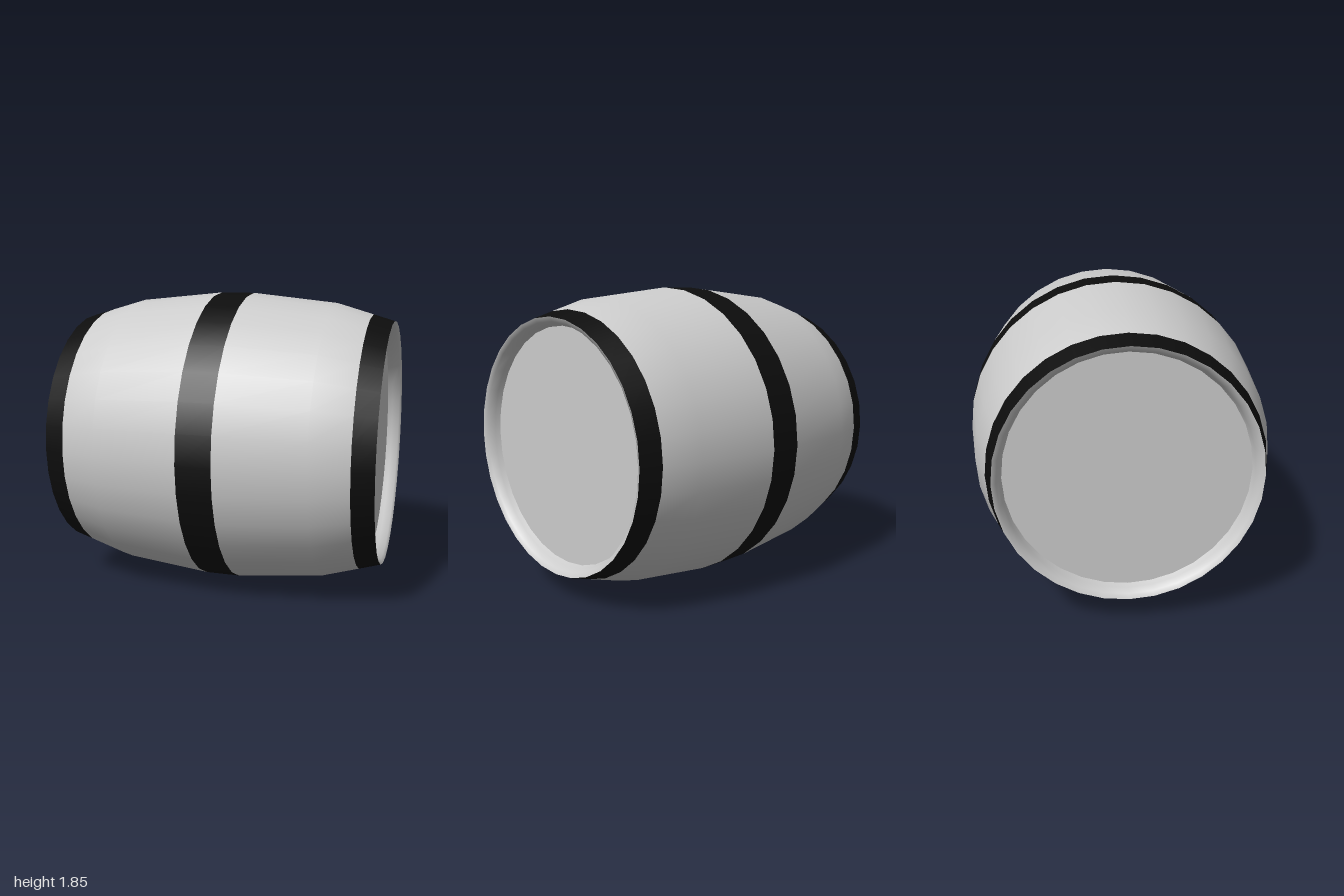
import * as THREE from 'three';

const SIDES = 32;
const R = 0.925;

export function createModel() {
  const barrel = new THREE.Group();
  barrel.name = 'barrel';
  const wood = new THREE.MeshStandardMaterial({ color: 0xcccccc });
  const iron = new THREE.MeshStandardMaterial({ color: 0x0d0d0d });

  // Turned part about the x axis; profile is a list of [x, radius]
  const turned = (name, profile, material, parent) => {
    const pts = profile.map(([x, r]) => new THREE.Vector2(r, x));
    const geo = new THREE.LatheGeometry(pts, SIDES).rotateZ(-Math.PI / 2);
    const mesh = new THREE.Mesh(geo, material);
    mesh.name = name;
    parent.add(mesh);
  };

  // Middle hoop
  turned('middleHoop', [[-0.107, R], [0.107, R]], iron, barrel);

  // Each half: staves, end hoop, rim and recessed head
  for (const side of ['left', 'right']) {
    const half = new THREE.Group();
    half.name = side + 'Half';
    if (side === 'right') half.rotation.y = Math.PI;

    turned('staves', [[0.107, R], [0.64, 0.87], [0.87, 0.803]], wood, half);
    turned('endHoop', [[0.87, 0.803], [1, 0.765]], iron, half);
    turned('rim', [[1, 0.765], [0.985, 0.737], [0.94, 0.722], [0.91, 0.71]], wood, half);

    const head = new THREE.Mesh(new THREE.CircleGeometry(0.712, SIDES).rotateY(Math.PI / 2), wood);
    head.name = 'head';
    head.position.x = 0.91;
    half.add(head);
    barrel.add(half);
  }

  barrel.position.y = R;
  const model = new THREE.Group();
  model.add(barrel);
  return model;
}
